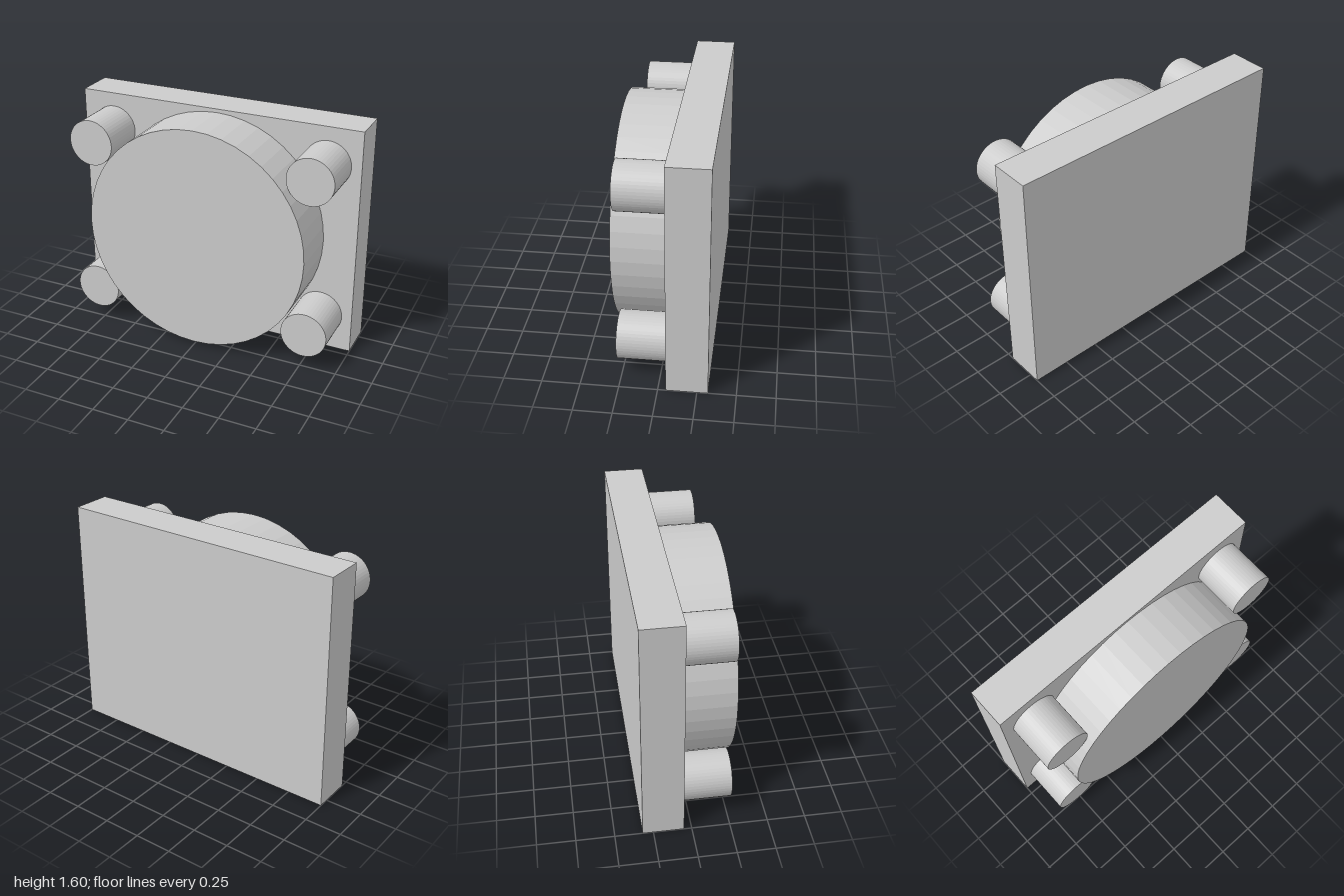
import * as THREE from 'three';

const HEIGHT = 1.595;
const BACK = -0.32;
const PLATE_FRONT = -0.05;

export function createModel() {
  const model = new THREE.Group();
  const material = new THREE.MeshStandardMaterial({ color: 0xcccccc, flatShading: true });

  // Cylinder standing out of the plate's front face, up to z = front
  function addRound(name, radius, x, y, front) {
    const depth = front - PLATE_FRONT;
    const geometry = new THREE.CylinderGeometry(radius, radius, depth, 48).rotateX(Math.PI / 2);
    const mesh = new THREE.Mesh(geometry, material);
    mesh.name = name;
    mesh.position.set(x, y, PLATE_FRONT + depth / 2);
    model.add(mesh);
  }

  // Rectangular backing plate
  const plate = new THREE.Mesh(new THREE.BoxGeometry(2, HEIGHT, PLATE_FRONT - BACK), material);
  plate.name = 'backPlate';
  plate.position.set(0, HEIGHT / 2, (PLATE_FRONT + BACK) / 2);
  model.add(plate);

  // Large central disc
  addRound('centralDisc', 0.773, 0, HEIGHT / 2, 0.32);

  // Four corner pegs
  for (const [side, sx] of [['Left', 1], ['Right', -1]]) {
    for (const [level, sy] of [['upper', 1], ['lower', -1]]) {
      addRound(`${level}${side}Peg`, 0.158, sx * 0.773, HEIGHT / 2 + sy * 0.546, 0.273);
    }
  }

  return model;
}
